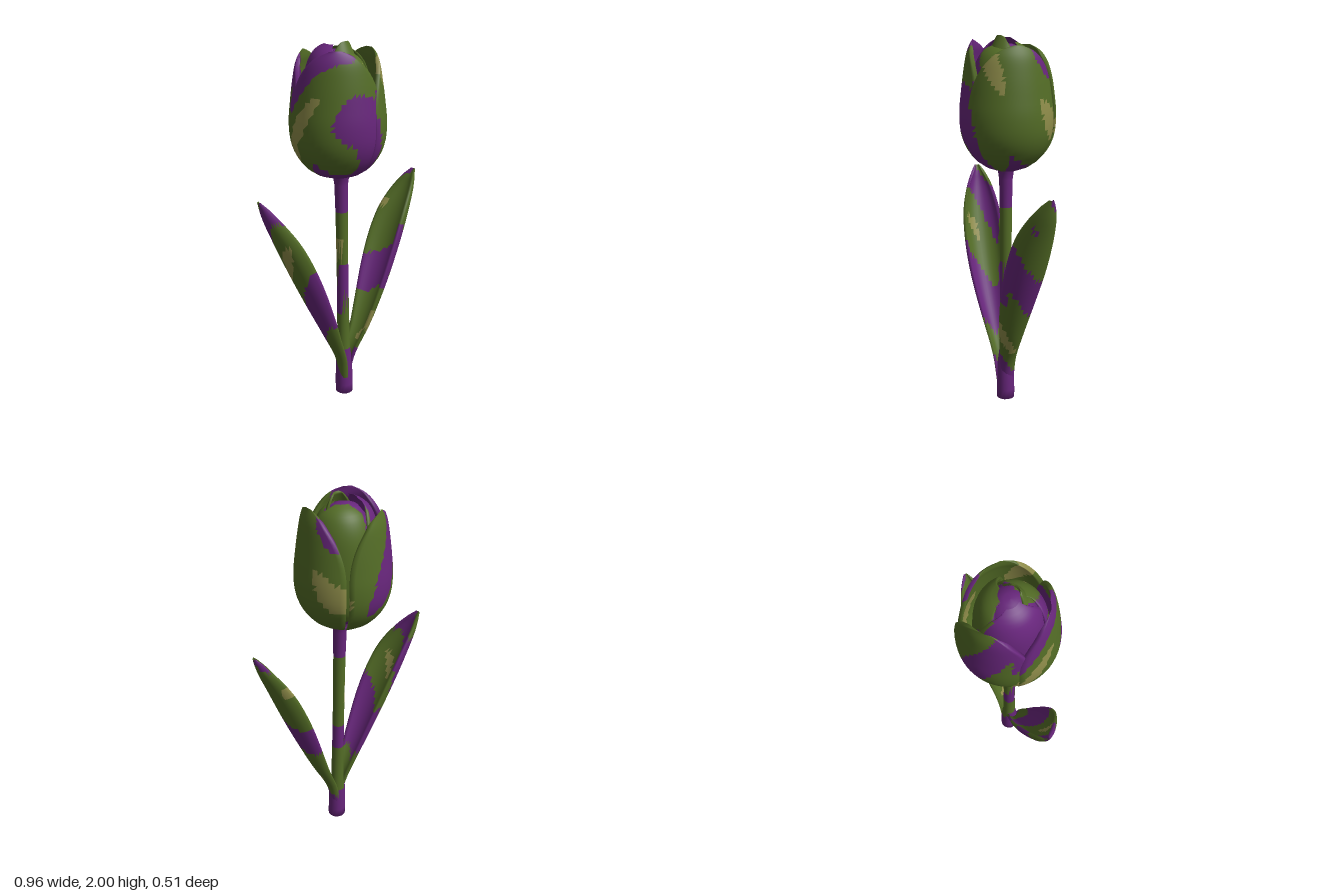
import * as THREE from 'three';

const TONES = { green: 0x536c26, purple: 0x68267c, olive: 0x8f8d4a };
const RAD = Math.PI / 180;

// Piecewise-smooth lookup through [position, value] pairs
function profile(pairs) {
  const curve = new THREE.SplineCurve(pairs.map(([p, v]) => new THREE.Vector2(p, v)));
  const pts = curve.getPoints(120);
  return (p) => {
    let i = 0;
    while (i < pts.length - 2 && pts[i + 1].x < p) i++;
    const k = THREE.MathUtils.clamp((p - pts[i].x) / (pts[i + 1].x - pts[i].x || 1), 0, 1);
    return pts[i].y + (pts[i + 1].y - pts[i].y) * k;
  };
}

// Skin over a stack of closed rings with equal point counts
function loft(rings) {
  const n = rings[0].length, pos = [], idx = [];
  rings.forEach((r) => r.forEach((p) => pos.push(p.x, p.y, p.z)));
  for (let j = 0; j < rings.length - 1; j++) {
    for (let i = 0; i < n; i++) {
      const a = j * n + i, b = j * n + ((i + 1) % n);
      idx.push(a, a + n, b, b, a + n, b + n);
    }
  }
  const g = new THREE.BufferGeometry();
  g.setAttribute('position', new THREE.Float32BufferAttribute(pos, 3));
  g.setIndex(idx);
  g.computeVertexNormals();
  return g;
}

// Blotchy colour pattern; bias raises the share of purple
function toneAt(x, y, z, bias) {
  const n = Math.sin(x * 15 + y * 5 + 1) + Math.sin(y * 9 - z * 13 + 2.4) + 0.8 * Math.sin(x * 25 - z * 23 + y * 14);
  if (n + bias > 0.85) return 'purple';
  return n + bias < -1.6 ? 'olive' : 'green';
}

// Splits a smooth surface into one mesh per colour patch
function blotched(name, geometry, bias = 0) {
  const g = geometry.toNonIndexed();
  const p = g.attributes.position.array, nor = g.attributes.normal.array;
  const bins = { green: [[], []], purple: [[], []], olive: [[], []] };
  for (let i = 0; i < p.length; i += 9) {
    const mid = (k) => (p[i + k] + p[i + 3 + k] + p[i + 6 + k]) / 3;
    const bin = bins[toneAt(mid(0), mid(1), mid(2), bias)];
    for (let k = i; k < i + 9; k++) { bin[0].push(p[k]); bin[1].push(nor[k]); }
  }
  const group = new THREE.Group();
  group.name = name;
  for (const [tone, [pos, normals]] of Object.entries(bins)) {
    if (!pos.length) continue;
    const part = new THREE.BufferGeometry();
    part.setAttribute('position', new THREE.Float32BufferAttribute(pos, 3));
    part.setAttribute('normal', new THREE.Float32BufferAttribute(normals, 3));
    const mesh = new THREE.Mesh(part, new THREE.MeshStandardMaterial({ color: TONES[tone], side: THREE.DoubleSide }));
    mesh.name = `${name} ${tone}`;
    group.add(mesh);
  }
  return group;
}

// Curved petal around the flower axis: radius and angular width vary with height t
function petal({ angle, half, bottom = 1.29, top, radius, width, cx = -0.027, twist = 0, thick = 0.02, flare = 0 }) {
  const rows = 28, cols = 20, rings = [];
  for (let j = 0; j <= rows; j++) {
    const t = Math.sin((j / rows) * Math.PI / 2) * 0.5 + (j / rows) * 0.5;
    const y = bottom + (top - bottom) * t, ring = [];
    const th = thick * Math.min(1, (1 - t) * 14, t * 8);
    const put = (s, off) => {
      const a = (angle + s * half * width(t)) * RAD;
      const r = Math.max(0.005, radius(t) + twist * s * Math.min(1, t * 4) + flare * t - off);
      ring.push(new THREE.Vector3(cx + Math.cos(a) * r, y, Math.sin(a) * r));
    };
    for (let i = 0; i <= cols; i++) put(-1 + 2 * i / cols, 0);
    for (let i = cols; i >= 0; i--) put(-1 + 2 * i / cols, th);
    rings.push(ring);
  }
  return loft(rings);
}

// Channel-shaped leaf swept along its outer spine
function leaf(points, angle) {
  const spine = new THREE.CatmullRomCurve3(points.map((p) => new THREE.Vector3(...p)));
  const halfWidth = profile([[0, 0.036], [0.15, 0.053], [0.32, 0.083], [0.5, 0.108], [0.65, 0.116], [0.78, 0.107],
    [0.89, 0.077], [0.96, 0.044], [1, 0.014]]);
  const w = new THREE.Vector3(-Math.sin(angle * RAD), 0, Math.cos(angle * RAD));
  const rows = 36, cols = 16, rings = [];
  for (let j = 0; j <= rows; j++) {
    const t = j / rows, c = spine.getPointAt(t), hw = halfWidth(t), ring = [];
    const out = spine.getTangentAt(t).cross(w).normalize();
    const th = Math.min(0.014, hw * 0.4), depth = hw * 0.92;
    const put = (s, off) => {
      const a = s * Math.PI / 2 * 0.95;
      ring.push(c.clone().addScaledVector(w, (hw - off) * Math.sin(a))
        .addScaledVector(out, (depth - off) * Math.cos(a) - depth));
    };
    for (let i = 0; i <= cols; i++) put(-1 + 2 * i / cols, 0);
    for (let i = cols; i >= 0; i--) put(-1 + 2 * i / cols, th);
    rings.push(ring);
  }
  return loft(rings);
}

export function createModel() {
  const model = new THREE.Group();
  model.name = 'tulip';

  // Stem: thick foot, slim stalk, small flare under the flower
  const sides = 14;
  const stemRows = [[0, 0], [0, 0.049], [0.05, 0.049], [0.1, 0.048], [0.2, 0.046], [0.28, 0.036], [0.5, 0.033], [0.65, 0.032],
    [0.8, 0.032], [0.95, 0.032], [1.1, 0.033], [1.25, 0.036], [1.3, 0.043], [1.33, 0.06]];
  model.add(blotched('stem', loft(stemRows.map(([y, r]) => Array.from({ length: sides }, (_, i) => {
    const a = (i / sides) * Math.PI * 2, k = y / 1.3;
    return new THREE.Vector3(-0.008 - 0.012 * k + Math.cos(a) * r, y, 0.028 - 0.015 * k + Math.sin(a) * r);
  }))), 0.7));

  // Two leaves leaning outwards
  model.add(blotched('left leaf', leaf([[0.03, 0.1, 0.03], [0.052, 0.22, 0.045], [0.135, 0.4, 0.082],
    [0.225, 0.6, 0.106], [0.312, 0.8, 0.122], [0.392, 1.0, 0.138], [0.452, 1.15, 0.15], [0.477, 1.24, 0.155]], 17), 0.6));
  model.add(blotched('right leaf', leaf([[-0.048, 0.1, 0.028], [-0.07, 0.22, 0.022], [-0.153, 0.4, -0.002],
    [-0.25, 0.6, -0.032], [-0.338, 0.8, -0.067], [-0.415, 1.0, -0.107], [-0.462, 1.15, -0.144], [-0.48, 1.24, -0.162]], 200), 0));

  // Three outer petals forming the cup
  const outerRadius = profile([[0, 0.03], [0.03, 0.095], [0.09, 0.16], [0.19, 0.213], [0.31, 0.242], [0.46, 0.248],
    [0.62, 0.237], [0.78, 0.222], [0.91, 0.205], [1, 0.18]]);
  const outerWidth = profile([[0, 1], [0.3, 1], [0.55, 1], [0.7, 0.93], [0.82, 0.78], [0.92, 0.55], [0.97, 0.35], [1, 0.1]]);
  const cup = { radius: outerRadius, width: outerWidth };
  model.add(blotched('left outer petal', petal({ ...cup, angle: 24, half: 69, top: 1.955, twist: 0.004 }), -0.1));
  model.add(blotched('right outer petal', petal({ ...cup, angle: 146, half: 66, top: 1.975, twist: 0.006, flare: 0.004 }), 0.5));
  model.add(blotched('back outer petal', petal({ ...cup, angle: 254, half: 57, top: 1.945, twist: 0.004, flare: 0.014 }), 0.1));

  // Inner petals closing over the bud
  const innerRadius = profile([[0, 0.04], [0.05, 0.1], [0.18, 0.158], [0.42, 0.176], [0.65, 0.173], [0.8, 0.16],
    [0.91, 0.132], [0.97, 0.095], [1, 0.055]]);
  const innerWidth = profile([[0, 1], [0.6, 1], [0.82, 0.95], [0.93, 0.8], [1, 0.5]]);
  [[82, 1.95], [205, 1.985], [-38, 1.965]].forEach(([angle, top], i) => {
    model.add(blotched(`inner petal ${i + 1}`, petal({ angle, half: 72, top, bottom: 1.31, cx: -0.033, twist: 0.01,
      thick: 0.012, radius: innerRadius, width: innerWidth }), 0.9));
  });

  // Folded heart of the bud
  const heart = new THREE.LatheGeometry([[0.04, 1.4], [0.12, 1.5], [0.14, 1.65], [0.135, 1.8], [0.11, 1.89],
    [0.07, 1.94], [0.03, 1.955], [0, 1.957]].map(([r, y]) => new THREE.Vector2(r, y)), 20);
  heart.translate(-0.033, 0, 0);
  model.add(blotched('bud heart', heart, 1.4));

  // Small curled petal tip at the crown
  model.add(blotched('crown petal', petal({ angle: 95, half: 75, bottom: 1.85, top: 2.0, thick: 0.01,
    radius: profile([[0, 0.11], [0.5, 0.085], [1, 0.05]]), width: profile([[0, 1], [0.6, 0.9], [0.9, 0.6], [1, 0.25]]) }), -0.3));

  return model;
}
